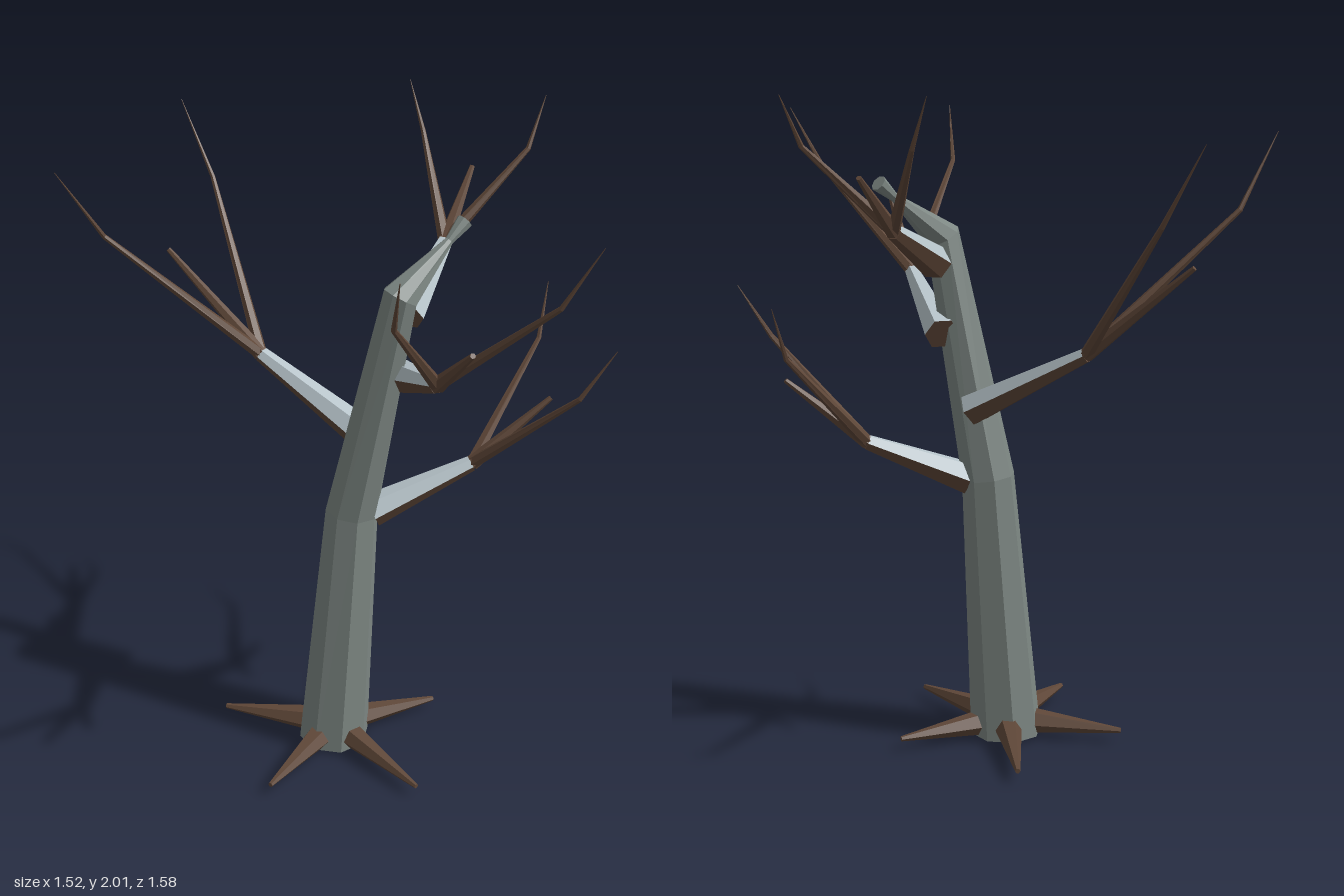
import * as THREE from 'three';

const bark = new THREE.MeshStandardMaterial({ color: 0x7d8783, flatShading: true });
bark.name = 'greyBark';
const brown = new THREE.MeshStandardMaterial({ color: 0x5f4738, flatShading: true });
brown.name = 'brownWood';
const pale = new THREE.MeshStandardMaterial({ color: 0xb6c3c9, flatShading: true });
pale.name = 'paleTop';

const UP = new THREE.Vector3(0, 1, 0);

// Faceted limb through points [x, y, z, radius]; topFaces marks sides that take the second material.
function limb(name, points, sides, materials, ref = UP, phase = -0.5, topFaces = []) {
  const centres = points.map(p => new THREE.Vector3(p[0], p[1], p[2]));
  const last = points.length - 1;
  const rings = centres.map((c, k) => {
    const t = new THREE.Vector3();
    if (k > 0) t.add(c.clone().sub(centres[k - 1]).normalize());
    if (k < last) t.add(centres[k + 1].clone().sub(c).normalize());
    t.normalize();
    const a = ref.clone().addScaledVector(t, -t.dot(ref)).normalize();
    const b = t.clone().cross(a);
    return Array.from({ length: sides }, (_, i) => {
      const ang = (i + phase) * 2 * Math.PI / sides;
      const v = c.clone().addScaledVector(a, Math.cos(ang) * points[k][3])
        .addScaledVector(b, Math.sin(ang) * points[k][3]);
      v.y = Math.max(v.y, 0);
      return v;
    });
  });
  const faces = [[], []];
  for (let i = 0; i < sides; i++) {
    const j = (i + 1) % sides;
    const out = faces[topFaces.includes(i) ? 1 : 0];
    for (let k = 0; k < last; k++) {
      const [p, q] = [rings[k], rings[k + 1]];
      out.push(p[i], p[j], q[j], p[i], q[j], q[i]);
    }
    faces[0].push(centres[0], rings[0][j], rings[0][i]);
    faces[0].push(centres[last], rings[last][i], rings[last][j]);
  }
  const geo = new THREE.BufferGeometry().setFromPoints([...faces[0], ...faces[1]]);
  geo.addGroup(0, faces[0].length, 0);
  if (faces[1].length) geo.addGroup(faces[0].length, faces[1].length, 1);
  geo.computeVertexNormals();
  const mesh = new THREE.Mesh(geo, materials);
  mesh.name = name;
  return mesh;
}

// Each branch: start, fork, short middle twig tip, and two long twigs as [elbow, tip].
const BRANCHES = [
  { name: 'lowLeftBranch', start: [0.10, 0.835, 0.05], fork: [0.41, 0.965, 0.05], mid: [0.65, 1.165, 0.05],
    twigs: [[[0.67, 1.265, -0.155], [0.715, 1.42, -0.23]], [[0.665, 1.265, 0.255], [0.76, 1.42, 0.275]]] },
  { name: 'backRightBranch', start: [0.10, 1.06, 0.0], fork: [-0.185, 1.255, -0.24], mid: [-0.428, 1.527, -0.463],
    twigs: [[[-0.632, 1.665, -0.273], [-0.76, 1.885, -0.232]], [[-0.255, 1.665, -0.68], [-0.33, 1.885, -0.793]]] },
  { name: 'frontBranch', start: [0.18, 1.285, 0.045], fork: [0.20, 1.43, 0.39], mid: [0.22, 1.645, 0.648],
    twigs: [[[0.003, 1.755, 0.685], [-0.01, 1.93, 0.79]], [[0.447, 1.755, 0.648], [0.535, 1.93, 0.69]]] },
  { name: 'topLeftBranch', start: [0.19, 1.495, 0.075], fork: [0.357, 1.615, -0.148], mid: [0.48, 1.78, -0.313],
    twigs: [[[0.355, 1.86, -0.423], [0.328, 2.0, -0.49]], [[0.62, 1.86, -0.215], [0.683, 2.0, -0.268]]] },
];

// Root tips [x, z]
const ROOTS = [[-0.35, -0.11], [-0.275, 0.31], [0.17, 0.408], [0.33, -0.01], [0.04, -0.332]];

export function createModel() {
  const tree = new THREE.Group();
  tree.name = 'bareTree';

  // Bent trunk ending in a pinched, crooked snag
  tree.add(limb('trunk', [
    [-0.02, -0.01, 0.055, 0.113], [0.04, 0.84, 0.038, 0.082], [0.162, 1.57, 0.107, 0.055],
    [0.32, 1.695, 0.03, 0.013], [0.372, 1.74, 0.002, 0.025],
  ], 8, [bark], new THREE.Vector3(0, 0, 1), 0));

  // Spreading roots
  const roots = new THREE.Group();
  roots.name = 'roots';
  for (const [x, z] of ROOTS)
    roots.add(limb('root', [[-0.02, 0.04, 0.055, 0.052], [x, 0.03, z, 0.008]], 6, [brown]));
  tree.add(roots);

  // Branches with pale upper sides, each forking into three twigs
  for (const { name, start, fork, mid, twigs } of BRANCHES) {
    const g = new THREE.Group();
    g.name = name;
    g.add(limb('bough', [[...start, 0.052], [...fork, 0.024]], 6, [brown, pale], UP, -0.5, [0, 1, 5]));
    g.add(limb('middleTwig', [[...fork, 0.024], [...mid, 0.008]], 6, [brown]));
    for (const [elbow, tip] of twigs)
      g.add(limb('longTwig', [[...fork, 0.02], [...elbow, 0.008], [...tip, 0.001]], 6, [brown]));
    tree.add(g);
  }
  return tree;
}
